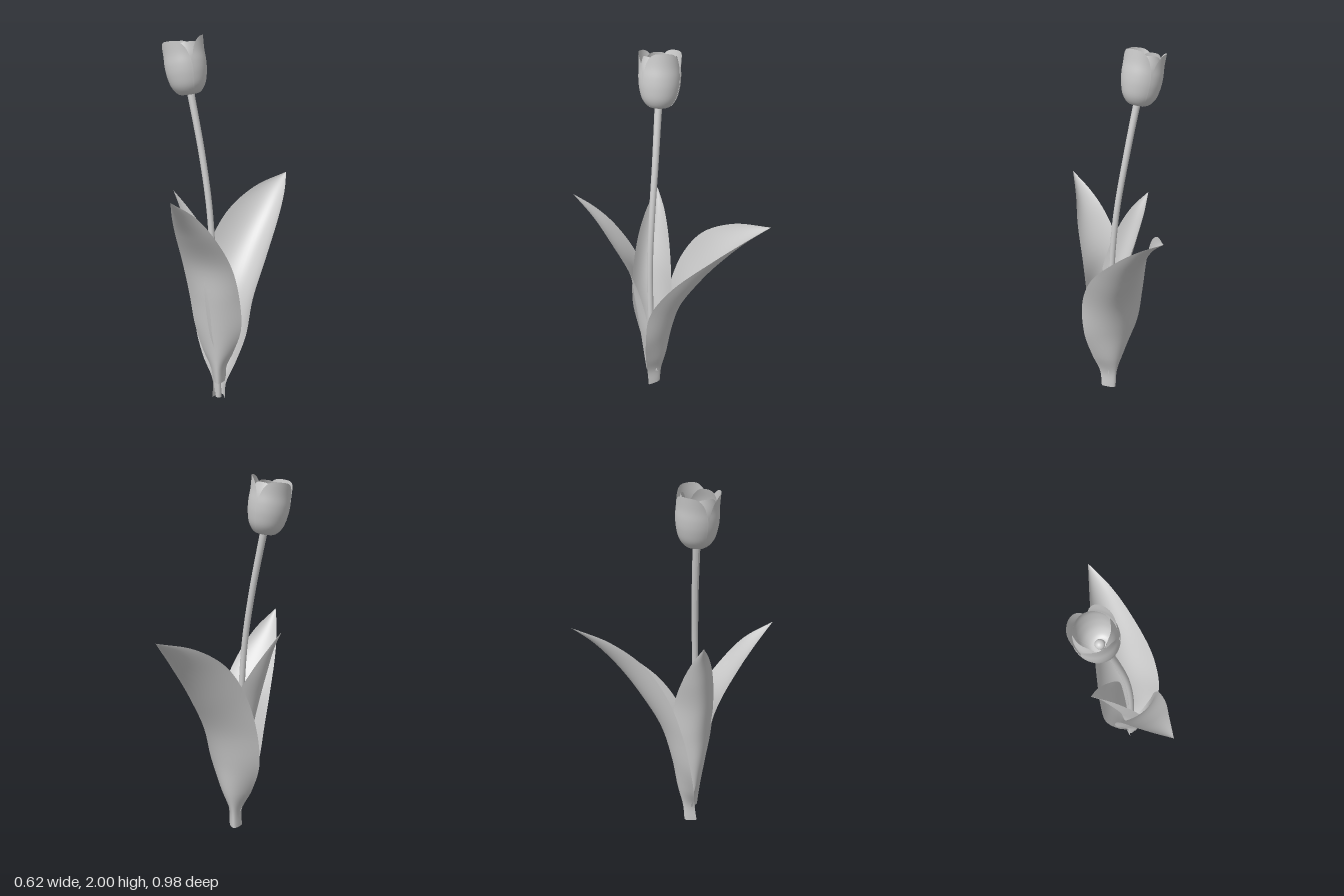
import * as THREE from 'three';

const V = (x, y, z) => new THREE.Vector3(x, y, z);

// Smooth open sheet from a rule: across u in [-1, 1], along v in [0, 1]
function sheet(nu, nv, rule) {
  const pos = [], index = [];
  for (let j = 0; j <= nv; j++) {
    for (let i = 0; i <= nu; i++) {
      const p = rule(-1 + (2 * i) / nu, j / nv);
      pos.push(p.x, p.y, p.z);
      if (i < nu && j < nv) {
        const a = j * (nu + 1) + i, b = a + nu + 1;
        index.push(a, a + 1, b + 1, a, b + 1, b);
      }
    }
  }
  const g = new THREE.BufferGeometry();
  g.setAttribute('position', new THREE.Float32BufferAttribute(pos, 3));
  g.setIndex(index);
  g.computeVertexNormals();
  return g;
}

// Cupped leaf lofted over rows of [left edge, midrib, right edge]
function leafGeometry(rows) {
  const rails = [0, 1, 2].map(k => new THREE.CatmullRomCurve3(rows.map(r => V(...r[k]))));
  return sheet(18, 48, (u, v) => {
    const [l, m, r] = rails.map(c => c.getPoint(v));
    return m.clone()
      .addScaledVector(r.clone().sub(l), u / 2)
      .addScaledVector(l.add(r).multiplyScalar(0.5).sub(m), u * u);
  });
}

// Broad petal wrapped around the bloom's axis, facing +x, with a rounded top
function petalGeometry(scale, height, halfAngle, lip) {
  const profile = new THREE.CatmullRomCurve3([
    V(0.012, 0, 0), V(0.055, 0.006, 0), V(0.088, 0.045, 0), V(0.106, 0.11, 0),
    V(0.111, 0.17, 0), V(0.109, 0.23, 0), V(lip, 0.3, 0),
  ]);
  return sheet(24, 28, (u, v) => {
    const a = Math.abs(u);
    const p = profile.getPoint(v * (1 - 0.13 * a ** 3.5));
    const r = p.x * scale;
    const angle = u * halfAngle * (1 - 0.17 * Math.max(0, (v - 0.7) / 0.3) ** 2);
    return V(r * Math.cos(angle), p.y * height / 0.3, r * Math.sin(angle));
  });
}

export function createModel() {
  const model = new THREE.Group();
  model.name = 'tulip';
  const grey = new THREE.MeshStandardMaterial({ color: 0xcccccc, side: THREE.DoubleSide });
  grey.name = 'light grey';
  const add = (parent, name, geometry) => {
    const mesh = new THREE.Mesh(geometry, grey);
    mesh.name = name;
    parent.add(mesh);
    return mesh;
  };

  // Stem, bending left and thickening towards the bloom
  const stemPath = new THREE.CatmullRomCurve3([
    V(-0.005, 0, 0.085), V(-0.018, 0.4, 0.092), V(-0.034, 0.8, 0.092), V(-0.056, 1.1, 0.075),
    V(-0.102, 1.4, 0.047), V(-0.16, 1.69, 0.02), V(-0.168, 1.73, 0.015),
  ]);
  add(model, 'stem', sheet(16, 60, (u, v) => {
    const r = 0.017 + 0.007 * v ** 4;
    return stemPath.getPoint(v).add(V(r * Math.cos(u * Math.PI), 0, -r * Math.sin(u * Math.PI)));
  }));

  // Large leaf sweeping to the back, sheathing the stem at its foot
  add(model, 'backLeaf', leafGeometry([
    [[-0.038, 0, 0.105], [0.002, 0, 0.046], [0.037, 0, 0.118]],
    [[-0.038, 0.1, 0.09], [0.008, 0.1, 0.038], [0.042, 0.1, 0.125]],
    [[-0.1, 0.23, 0.05], [0.03, 0.22, 0.015], [0.095, 0.23, 0.14]],
    [[-0.15, 0.4, 0], [0.05, 0.4, -0.012], [0.155, 0.4, 0.148]],
    [[-0.14, 0.62, -0.045], [0.098, 0.6, -0.056], [0.19, 0.61, 0.13]],
    [[-0.09, 0.83, -0.105], [0.15, 0.8, -0.16], [0.247, 0.81, 0.02]],
    [[0, 1.01, -0.197], [0.2, 0.985, -0.282], [0.297, 1.0, -0.19]],
    [[0.14, 1.13, -0.335], [0.25, 1.11, -0.39], [0.314, 1.11, -0.345]],
    [[0.31, 1.19, -0.49], [0.31, 1.19, -0.49], [0.31, 1.19, -0.49]],
  ]));

  // Large leaf sweeping to the front
  add(model, 'frontLeaf', leafGeometry([
    [[-0.036, 0.095, 0.07], [-0.002, 0.095, 0.125], [0.033, 0.095, 0.065]],
    [[-0.055, 0.18, 0.07], [-0.005, 0.18, 0.135], [0.038, 0.18, 0.075]],
    [[-0.1, 0.28, 0.065], [-0.01, 0.28, 0.145], [0.08, 0.28, 0.1]],
    [[-0.14, 0.42, 0.07], [-0.02, 0.42, 0.16], [0.125, 0.42, 0.122]],
    [[-0.165, 0.6, 0.09], [-0.03, 0.6, 0.182], [0.121, 0.6, 0.148]],
    [[-0.19, 0.8, 0.15], [-0.06, 0.8, 0.21], [0.085, 0.8, 0.205]],
    [[-0.205, 0.99, 0.265], [-0.1, 0.98, 0.31], [0.007, 0.99, 0.305]],
    [[-0.2, 1.11, 0.37], [-0.14, 1.1, 0.395], [-0.075, 1.115, 0.382]],
    [[-0.18, 1.215, 0.49], [-0.18, 1.215, 0.49], [-0.18, 1.215, 0.49]],
  ]));

  // Small leaf leaning to the side
  add(model, 'sideLeaf', leafGeometry([
    [[0.005, 0.03, 0.06], [-0.028, 0.03, 0.085], [0, 0.03, 0.11]],
    [[0.01, 0.22, 0.048], [-0.042, 0.22, 0.085], [-0.01, 0.22, 0.125]],
    [[0.022, 0.4, 0.015], [-0.07, 0.4, 0.08], [-0.028, 0.4, 0.165]],
    [[0.03, 0.56, -0.015], [-0.09, 0.56, 0.075], [-0.037, 0.57, 0.194]],
    [[0, 0.76, -0.022], [-0.13, 0.75, 0.068], [-0.078, 0.76, 0.182]],
    [[-0.1, 0.94, -0.025], [-0.18, 0.93, 0.045], [-0.143, 0.95, 0.138]],
    [[-0.19, 1.07, -0.015], [-0.222, 1.07, 0.025], [-0.203, 1.08, 0.08]],
    [[-0.265, 1.17, 0.01], [-0.265, 1.17, 0.01], [-0.265, 1.17, 0.01]],
  ]));

  // Bloom: three outer and three inner petals around a rounded pistil
  const bloom = new THREE.Group();
  bloom.name = 'bloom';
  bloom.position.set(-0.167, 1.692, 0.015);
  bloom.rotation.set(-0.05, 0, 0.15);
  model.add(bloom);
  const outer = petalGeometry(1, 0.296, 1.035, 0.112);
  const inner = petalGeometry(0.92, 0.272, 1.04, 0.093);
  for (let i = 0; i < 3; i++) {
    const turn = (i * Math.PI * 2) / 3;
    const petal = add(bloom, 'outerPetal', outer);
    petal.rotation.y = turn;
    petal.scale.y = i === 0 ? 1 : 0.965;
    add(bloom, 'innerPetal', inner).rotation.y = turn + Math.PI / 3;
  }
  const pistil = add(bloom, 'pistil', new THREE.SphereGeometry(0.025, 20, 14));
  pistil.position.y = 0.045;

  return model;
}
